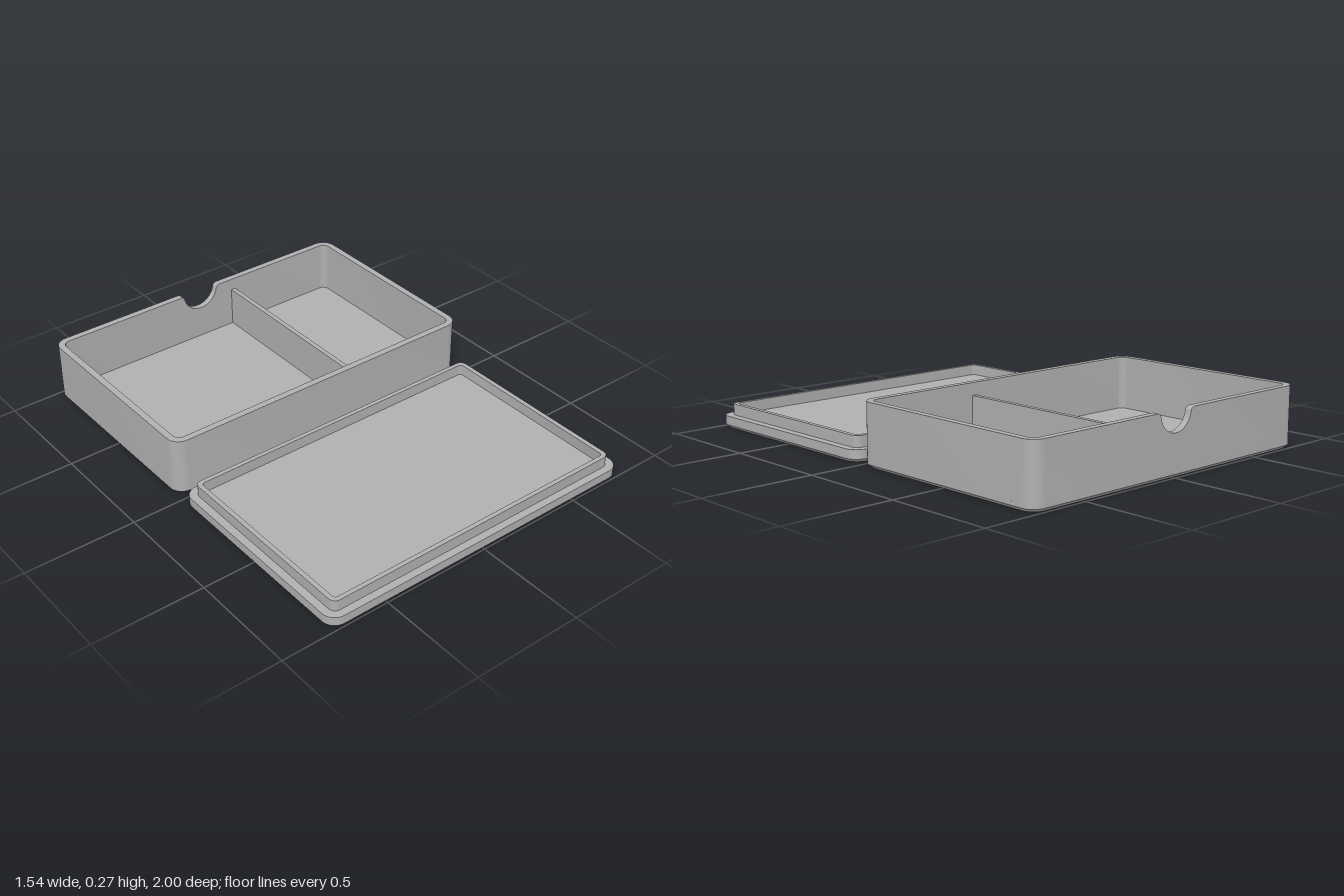
import * as THREE from 'three';
import { toCreasedNormals } from 'three/addons/utils/BufferGeometryUtils.js';

const HX = 0.77, HZ = 0.49, R = 0.06, CHAMFER = 0.015;
const grey = new THREE.MeshStandardMaterial({ color: 0xb0b0b0 });
grey.name = 'grey plastic';

// Rounded rectangle outline, counter-clockwise, starting at the back left
function outline(hx, hz, r, cx = 0, cy = 0) {
  const pts = [];
  [[-1, 1], [-1, -1], [1, -1], [1, 1]].forEach(([sx, sy], i) => {
    for (let k = 0; k <= 8; k++) {
      const a = (Math.PI / 2) * (1 + i + k / 8);
      pts.push(new THREE.Vector2(cx + sx * (hx - r) + r * Math.cos(a), cy + sy * (hz - r) + r * Math.sin(a)));
    }
  });
  return pts;
}

function circle(r, cx = 0, cy = 0) {
  return new THREE.Path().absarc(cx, cy, r, 0, Math.PI * 2, false);
}

// Upright prism from a plan shape (shape y points to the back)
function prism(shape, y, height) {
  const geo = new THREE.ExtrudeGeometry(shape, { depth: height, bevelEnabled: false, curveSegments: 20 });
  return geo.rotateX(-Math.PI / 2).translate(0, y, 0);
}

function add(group, name, geo) {
  const mesh = new THREE.Mesh(toCreasedNormals(geo, 0.6), grey);
  mesh.name = name;
  group.add(mesh);
  return mesh;
}

// Plate whose outer lower edge is pulled in to a chamfer
function chamferedPlate(holes = []) {
  const shape = new THREE.Shape(outline(HX, HZ, R));
  shape.holes.push(...holes);
  const geo = prism(shape, 0, CHAMFER);
  const p = geo.attributes.position;
  for (let i = 0; i < p.count; i++) {
    const x = p.getX(i), z = p.getZ(i);
    if (p.getY(i) > 0.001 || (Math.abs(x) < 0.74 && Math.abs(z) < 0.465)) continue;
    p.setXYZ(i, x * (1 - CHAMFER / HX), 0, z * (1 - CHAMFER / HZ));
  }
  return geo;
}

function createTray() {
  const tray = new THREE.Group();
  tray.name = 'tray';
  const top = 0.27, floor = 0.03, wall = 0.03, gap = 0.12;
  add(tray, 'trayBottom', chamferedPlate());
  add(tray, 'trayFloor', prism(new THREE.Shape(outline(HX, HZ, R)), CHAMFER, floor - CHAMFER));

  // Wall ring, left open at the middle of the back
  const v = (x, y) => new THREE.Vector2(x, y);
  const inner = outline(HX - wall, HZ - wall, R - wall).reverse();
  const ring = [v(-gap, HZ), ...outline(HX, HZ, R), v(gap, HZ), v(gap, HZ - wall), ...inner, v(-gap, HZ - wall)];
  add(tray, 'trayWall', prism(new THREE.Shape(ring), floor, top - floor));

  // Back panel with a round finger notch and softened lips
  const r = 0.09, f = 0.02, cx = Math.sqrt((r + f) ** 2 - f * f), t = Math.asin(f / (r + f));
  const s = new THREE.Shape();
  s.moveTo(-gap, floor);
  s.lineTo(gap, floor);
  s.lineTo(gap, top);
  s.absarc(cx, top - f, f, Math.PI / 2, Math.PI - t, false);
  s.absarc(0, top, r, -t, -Math.PI + t, true);
  s.absarc(-cx, top - f, f, t, Math.PI / 2, false);
  s.lineTo(-gap, top);
  const panel = new THREE.ExtrudeGeometry(s, { depth: wall, bevelEnabled: false, curveSegments: 20 });
  add(tray, 'fingerNotch', panel.translate(0, 0, -HZ));

  // Divider stops below the rim to clear the lid lip
  const height = 0.215 - floor;
  const divider = new THREE.BoxGeometry(0.022, height, 2 * (HZ - wall));
  add(tray, 'divider', divider.translate(0.186, floor + height / 2, 0));
  return tray;
}

function createLid() {
  const lid = new THREE.Group();
  lid.name = 'lid';
  const fanX = 0.317, fanY = -0.037;

  // Engravings on the outer face
  const holes = [];
  for (const x of [-fanX, fanX]) holes.push(circle(0.105, x, fanY));
  holes.push(new THREE.Path(outline(0.145, 0.047, 0.012, 0, fanY)));
  for (let i = -2; i <= 2; i++) {
    const x = i * 0.132, y = 0.29;
    holes.push(Math.abs(i) === 2 ? new THREE.Path(outline(0.022, 0.022, 0.004, x, y)) : circle(0.018, x, y));
  }
  for (const x of [-0.715, 0.715]) for (const y of [-0.44, 0.44]) holes.push(circle(0.015, x, y));
  holes.push(circle(0.015, 0, -0.44));
  add(lid, 'lidFace', chamferedPlate(holes));
  add(lid, 'lidPlate', prism(new THREE.Shape(outline(HX, HZ, R)), CHAMFER, 0.055 - CHAMFER));

  // Spoked discs and label panel standing inside their grooves
  for (const x of [-fanX, fanX]) {
    const disc = new THREE.Shape().absarc(x, fanY, 0.095, 0, Math.PI * 2, false);
    for (let k = 0; k < 8; k++) {
      const a = (k * Math.PI) / 4 + 0.1, b = a + Math.PI / 4 - 0.2;
      const sector = new THREE.Path();
      sector.absarc(x, fanY, 0.082, a, b, false);
      sector.absarc(x, fanY, 0.03, b, a, true);
      disc.holes.push(sector);
    }
    add(lid, 'spokedDisc', prism(disc, 0, CHAMFER));
  }
  add(lid, 'labelPanel', prism(new THREE.Shape(outline(0.132, 0.034, 0.008, 0, fanY)), 0, CHAMFER));

  // Raised lip that plugs into the tray
  const lip = new THREE.Shape(outline(0.735, 0.456, 0.03));
  lip.holes.push(new THREE.Path(outline(0.714, 0.436, 0.015)));
  add(lid, 'lidLip', prism(lip, 0.055, 0.05));
  return lid;
}

export function createModel() {
  const model = new THREE.Group();
  model.name = 'boxWithLid';
  const tray = createTray();
  tray.position.z = -0.51;
  const lid = createLid();
  lid.position.z = 0.51;
  model.add(tray, lid);
  return model;
}
